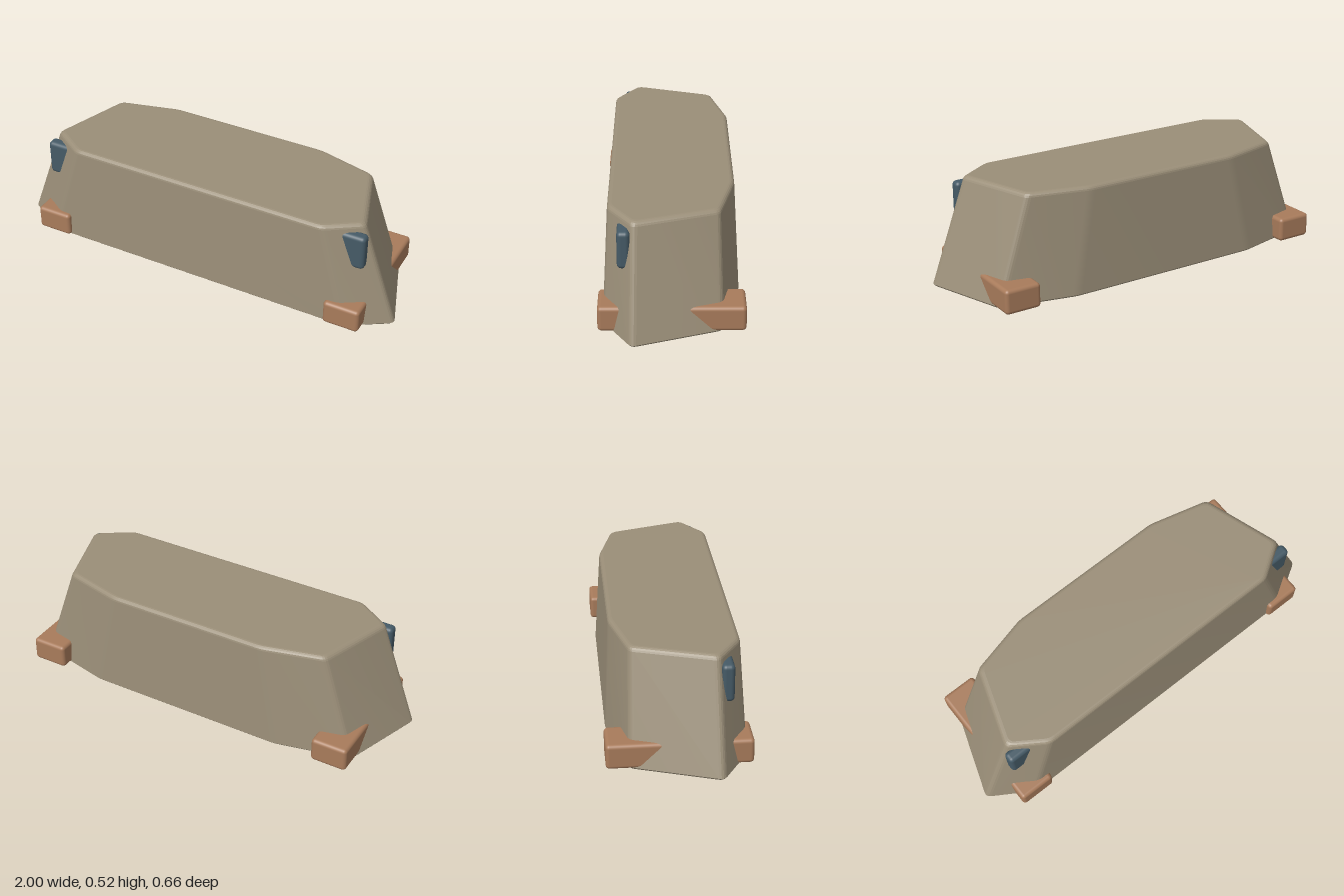
import * as THREE from 'three';
import { toCreasedNormals } from 'three/addons/utils/BufferGeometryUtils.js';
import { RoundedBoxGeometry } from 'three/addons/geometries/RoundedBoxGeometry.js';

// Half outlines (x, z) from front to back, mirrored into a full loop
const BOTTOM = [[0.8, 0.31], [1.01, 0.18], [0.87, -0.23], [0.5, -0.315]];
const TOP = [[0.65, 0.286], [0.822, 0.172], [0.695, -0.213], [0.4, -0.288]];
const HEIGHT = 0.52;

// Rounded loop at a share t of the height, pulled inward by inset
function outline(t, inset) {
  const half = BOTTOM.map(([x, z], i) => new THREE.Vector2(x, z).lerp(new THREE.Vector2(...TOP[i]), t));
  const loop = [...half, ...half.map(p => new THREE.Vector2(-p.x, p.y)).reverse()];
  const n = loop.length;
  const dir = i => loop[(i + 1) % n].clone().sub(loop[i]).normalize();
  // Mitred inset of every corner
  const corners = loop.map((p, i) => {
    const a = dir((i + n - 1) % n), b = dir(i);
    const normal = new THREE.Vector2(-a.y - b.y, a.x + b.x).normalize();
    const cos = normal.dot(new THREE.Vector2(-a.y, a.x));
    if (normal.dot(p) > 0) normal.negate();
    return p.clone().addScaledVector(normal, inset / Math.abs(cos));
  });
  // Short curve across each corner
  return corners.flatMap((p, i) => {
    const start = p.clone().addScaledVector(dir((i + n - 1) % n), -0.025);
    const end = p.clone().addScaledVector(dir(i), 0.025);
    return new THREE.QuadraticBezierCurve(start, p, end).getPoints(4);
  });
}

// Tapered body with rounded rims, built from stacked loops
function bodyGeometry() {
  const levels = [[0, 0.017], [0.004, 0.008], [0.012, 0]];
  for (let i = 0; i <= 4; i++) {
    const a = i / 4 * Math.PI / 2;
    levels.push([HEIGHT - 0.02 + 0.02 * Math.sin(a), 0.02 * (1 - Math.cos(a))]);
  }
  const rings = levels.map(([y, inset]) =>
    outline(y / HEIGHT, inset).map(p => new THREE.Vector3(p.x, y, p.y)));
  const n = rings[0].length, points = rings.flat(), index = [];
  for (let r = 0; r < rings.length - 1; r++) {
    for (let i = 0; i < n; i++) {
      const a = r * n + i, b = r * n + (i + 1) % n;
      index.push(a, a + n, b, b, a + n, b + n);
    }
  }
  // Flat bottom and top
  const last = (rings.length - 1) * n;
  for (let i = 1; i < n - 1; i++) {
    index.push(0, i, i + 1, last, last + i + 1, last + i);
  }
  // The loop runs front, +x side, back, so it is counter-clockwise seen from above
  for (let i = 0; i < index.length; i += 3) {
    [index[i + 1], index[i + 2]] = [index[i + 2], index[i + 1]];
  }
  const g = new THREE.BufferGeometry().setFromPoints(points);
  g.setIndex(index);
  return toCreasedNormals(g, 0.12);
}

export function createModel() {
  const group = new THREE.Group();
  const shell = new THREE.MeshStandardMaterial({ color: 0x9a8e78 });
  const copper = new THREE.MeshStandardMaterial({ color: 0xa87b5b });
  const slate = new THREE.MeshStandardMaterial({ color: 0x455a66 });

  const add = (name, geometry, material) => {
    const mesh = new THREE.Mesh(geometry, material);
    mesh.name = name;
    group.add(mesh);
    return mesh;
  };
  // Rounded block given by its limits
  const block = (name, [x0, x1], [y0, y1], [z0, z1], radius, material) =>
    add(name, new RoundedBoxGeometry(x1 - x0, y1 - y0, z1 - z0, 4, radius), material)
      .position.set((x0 + x1) / 2, (y0 + y1) / 2, (z0 + z1) / 2);

  add('body', bodyGeometry(), shell);

  for (const [side, s] of [['left', 1], ['right', -1]]) {
    const span = (a, b) => (s > 0 ? [a, b] : [-b, -a]);
    // Corner bumpers low on the body
    block(side + 'FrontBumper', span(0.7, 0.88), [0.01, 0.13], [0.05, 0.33], 0.018, copper);
    block(side + 'BackBumper', span(0.7, 0.88), [0.01, 0.13], [-0.33, -0.05], 0.018, copper);
    // Upright lamp let into the slanted front corner
    block(side + 'Lamp', span(0.7, 0.85), [0.305, 0.483], [0.182, 0.24], 0.02, slate);
  }
  return group;
}
